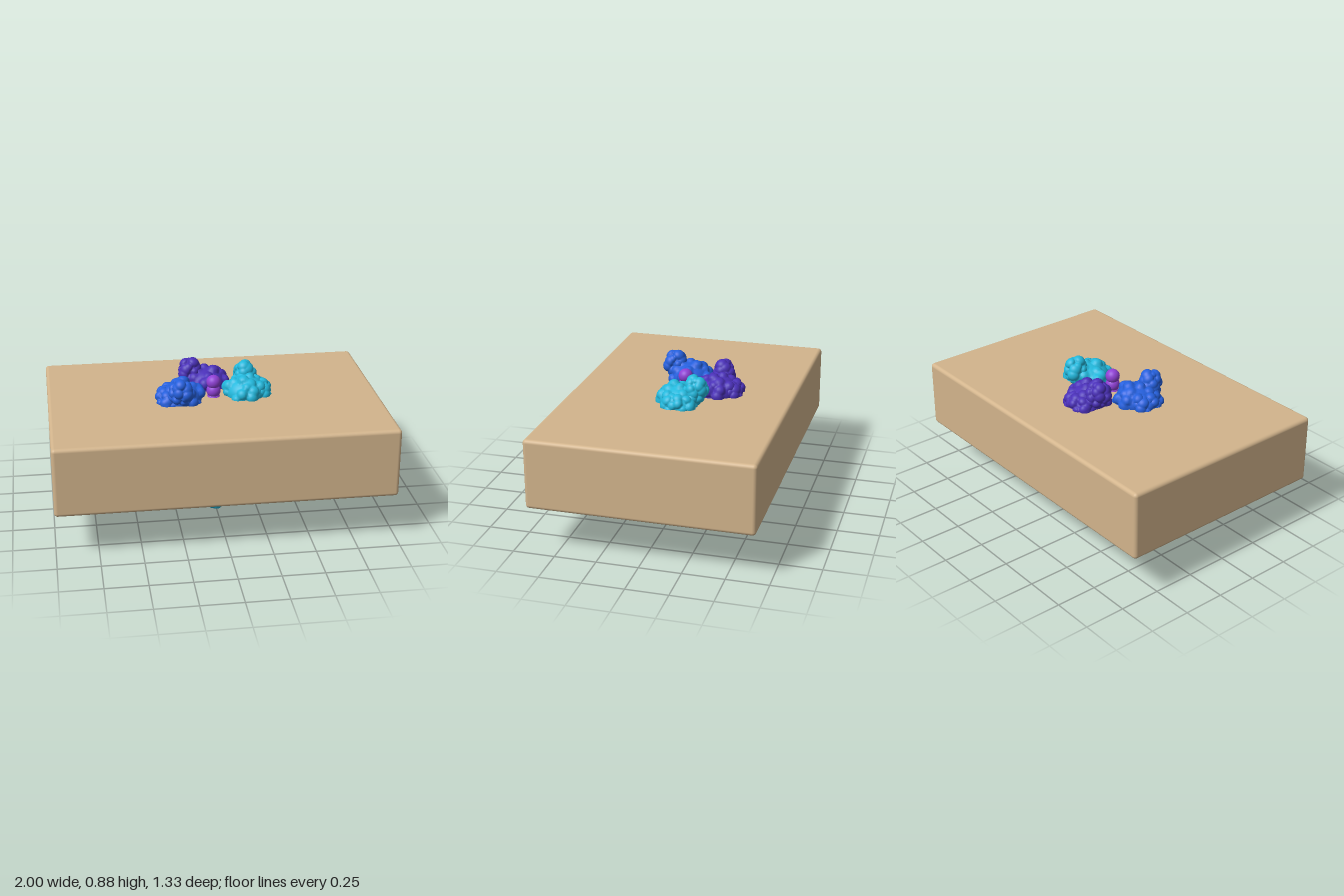
import * as THREE from 'three';
import { mergeVertices } from 'three/addons/utils/BufferGeometryUtils.js';
import { RoundedBoxGeometry } from 'three/addons/geometries/RoundedBoxGeometry.js';

// small seeded random generator
function seeded(seed) {
  let s = seed;
  return () => {
    s = (s * 16807) % 2147483647;
    return s / 2147483647;
  };
}

// ellipsoid covered with soft round bumps, like a molecular surface
function lumpyLobe(center, radii, seed) {
  const rand = seeded(seed * 7919 + 13);
  const R = new THREE.Vector3(...radii);
  const C = new THREE.Vector3(...center);
  const meanR = (R.x + R.y + R.z) / 3;
  const count = Math.round(16 + 1700 * meanR * meanR);
  const bumps = [];
  for (let i = 0; i < count; i++) {
    const y = 1 - (2 * (i + 0.5)) / count;
    const a = i * 2.39996 + (rand() - 0.5) * 0.8;
    const q = Math.sqrt(1 - y * y);
    const at = new THREE.Vector3(Math.cos(a) * q, y, Math.sin(a) * q).multiply(R);
    bumps.push({ at, size: 0.024 + 0.012 * rand(), lift: 0.5 + 0.35 * rand() });
  }
  let geo = new THREE.IcosahedronGeometry(1, 14);
  geo.deleteAttribute('uv');
  geo.deleteAttribute('normal');
  geo = mergeVertices(geo, 1e-4);
  const pos = geo.attributes.position;
  const p = new THREE.Vector3(), n = new THREE.Vector3();
  for (let i = 0; i < pos.count; i++) {
    n.fromBufferAttribute(pos, i).normalize();
    p.copy(n).multiply(R);
    n.divide(R).normalize();
    let h = 0;
    for (const b of bumps) {
      const d2 = b.size * b.size - p.distanceToSquared(b.at);
      if (d2 > 0) h = Math.max(h, Math.sqrt(d2) * b.lift);
    }
    p.addScaledVector(n, h).add(C);
    pos.setXYZ(i, p.x, p.y, p.z);
  }
  geo.computeVertexNormals();
  return geo;
}

// lobes of one subunit sitting on the +x side: name, centre, radii
const LOBES = [
  ['outerDome', [0.2, 0.715, -0.02], [0.125, 0.095, 0.125]],
  ['outerPeak', [0.21, 0.79, -0.12], [0.055, 0.07, 0.055]],
  ['outerRim', [0.295, 0.71, -0.03], [0.05, 0.055, 0.09]],
  ['membraneSpan', [0.18, 0.5, 0.0], [0.12, 0.21, 0.12]],
  ['innerArm', [0.16, 0.26, 0.09], [0.135, 0.045, 0.1]],
  ['innerDomain', [-0.02, 0.145, 0.11], [0.09, 0.075, 0.075]],
  ['innerTip', [0.0, 0.07, 0.12], [0.05, 0.052, 0.05]],
];

export function createModel() {
  const model = new THREE.Group();
  model.name = 'membraneChannel';

  // membrane slab
  const slab = new THREE.Mesh(
    new RoundedBoxGeometry(2, 0.42, 1.33, 4, 0.022),
    new THREE.MeshStandardMaterial({ color: 0xd2b48c })
  );
  slab.name = 'membraneSlab';
  slab.position.y = 0.492;
  model.add(slab);

  // three of four quarter-turn subunits; the front one is left out
  const geos = LOBES.map(([, c, r], i) => lumpyLobe(c, r, i + 1));
  const subunits = [
    ['leftSubunit', 0x22b8dc],
    ['backSubunit', 0x4a30b8],
    ['rightSubunit', 0x2560dd],
  ];
  subunits.forEach(([name, color], k) => {
    const subunit = new THREE.Group();
    subunit.name = name;
    const material = new THREE.MeshStandardMaterial({ color });
    geos.forEach((geo, i) => {
      const lobe = new THREE.Mesh(geo, material);
      lobe.name = LOBES[i][0];
      subunit.add(lobe);
    });
    subunit.rotation.y = (k * Math.PI) / 2;
    model.add(subunit);
  });

  // ions stacked down the central pore
  const ionGeo = new THREE.SphereGeometry(0.043, 32, 20);
  const ionMat = new THREE.MeshStandardMaterial({ color: 0x8f40d4 });
  for (let i = 0; i < 4; i++) {
    const ion = new THREE.Mesh(ionGeo, ionMat);
    ion.name = 'poreIon';
    ion.position.y = 0.793 - i * 0.055;
    model.add(ion);
  }
  return model;
}
